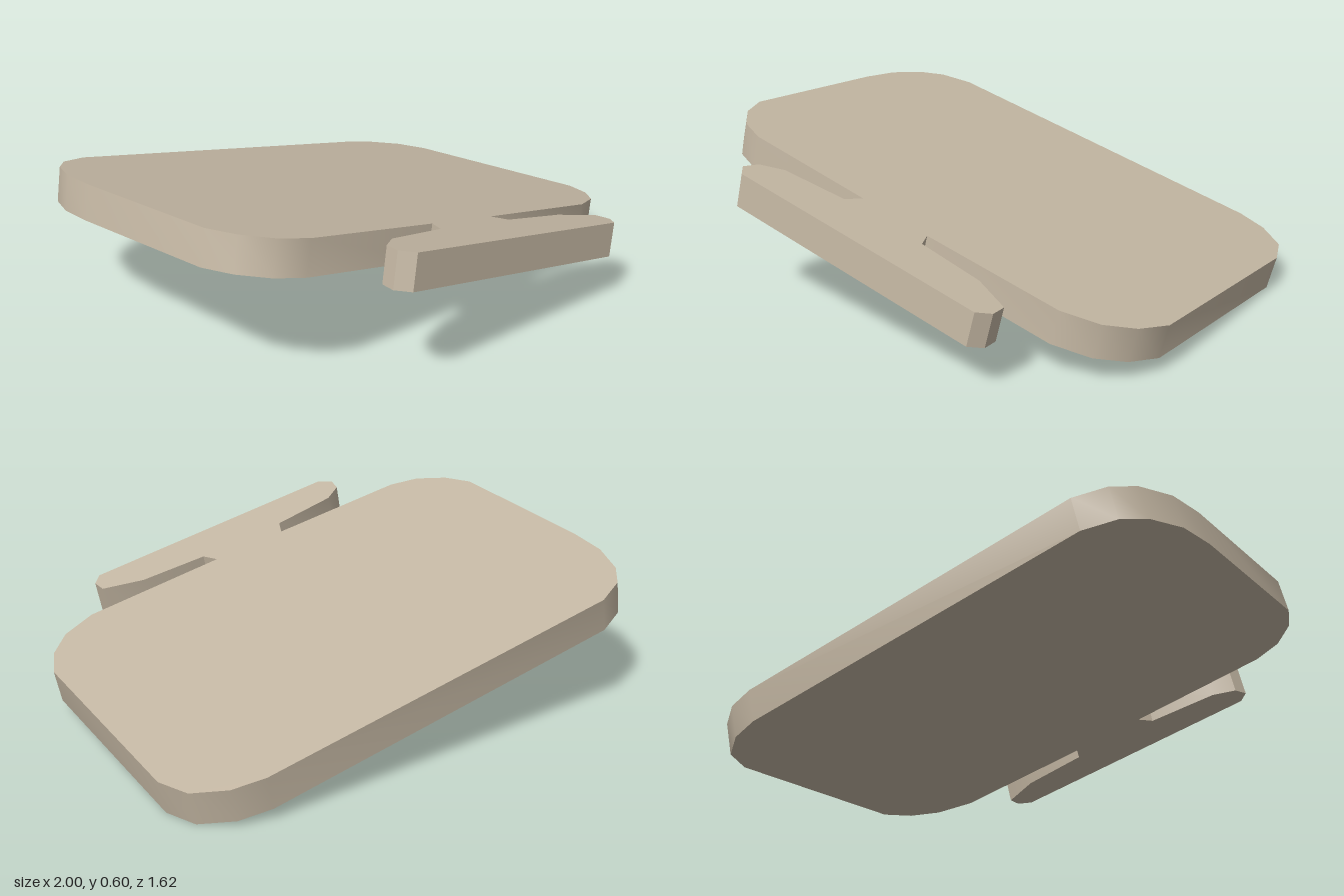
import * as THREE from 'three';
import { toCreasedNormals } from 'three/addons/utils/BufferGeometryUtils.js';

const sand = new THREE.MeshStandardMaterial({ color: 0xc4b7a3 });
sand.name = 'sand';

// Plan outline of the upper face as [x, z]
const outline = [
  // panel, back edge and right side
  [-0.73, -0.81], [0.70, -0.81], [0.82, -0.78], [0.93, -0.70], [0.98, -0.58],
  [1.0, 0.27], [0.95, 0.39], [0.865, 0.48], [0.73, 0.535],
  // neck and foot
  [0.16, 0.537], [0.19, 0.6], [0.46, 0.62], [0.615, 0.685], [0.62, 0.75], [0.58, 0.797],
  [-0.5, 0.797], [-0.545, 0.75], [-0.53, 0.685], [-0.45, 0.63], [-0.18, 0.6], [-0.15, 0.532],
  // panel, left side
  [-0.71, 0.52], [-0.82, 0.48], [-0.91, 0.39], [-0.96, 0.28],
  [-0.972, -0.38], [-0.96, -0.54], [-0.91, -0.68], [-0.845, -0.76],
];

// Height of the tilted upper face
const topHeight = (x, z) => 0.382 - 0.212 * x + 0.07 * z;

export function createModel() {
  const group = new THREE.Group();
  group.name = 'tiltedPlaque';

  const shape = new THREE.Shape(outline.map(([x, z]) => new THREE.Vector2(x, -z)));
  let geometry = new THREE.ExtrudeGeometry(shape, { depth: 1, bevelEnabled: false });
  geometry.rotateX(-Math.PI / 2);

  // Lean the slab: the lower face is the upper one moved along the face normal
  const p = geometry.attributes.position;
  for (let i = 0; i < p.count; i++) {
    const x = p.getX(i), z = p.getZ(i), down = 1 - p.getY(i);
    p.setXYZ(i, x - 0.028 * down, topHeight(x, z) - 0.13 * down, z + 0.009 * down);
  }
  geometry = toCreasedNormals(geometry, 0.6);

  const slab = new THREE.Mesh(geometry, sand);
  slab.name = 'panelWithFoot';
  group.add(slab);
  return group;
}
